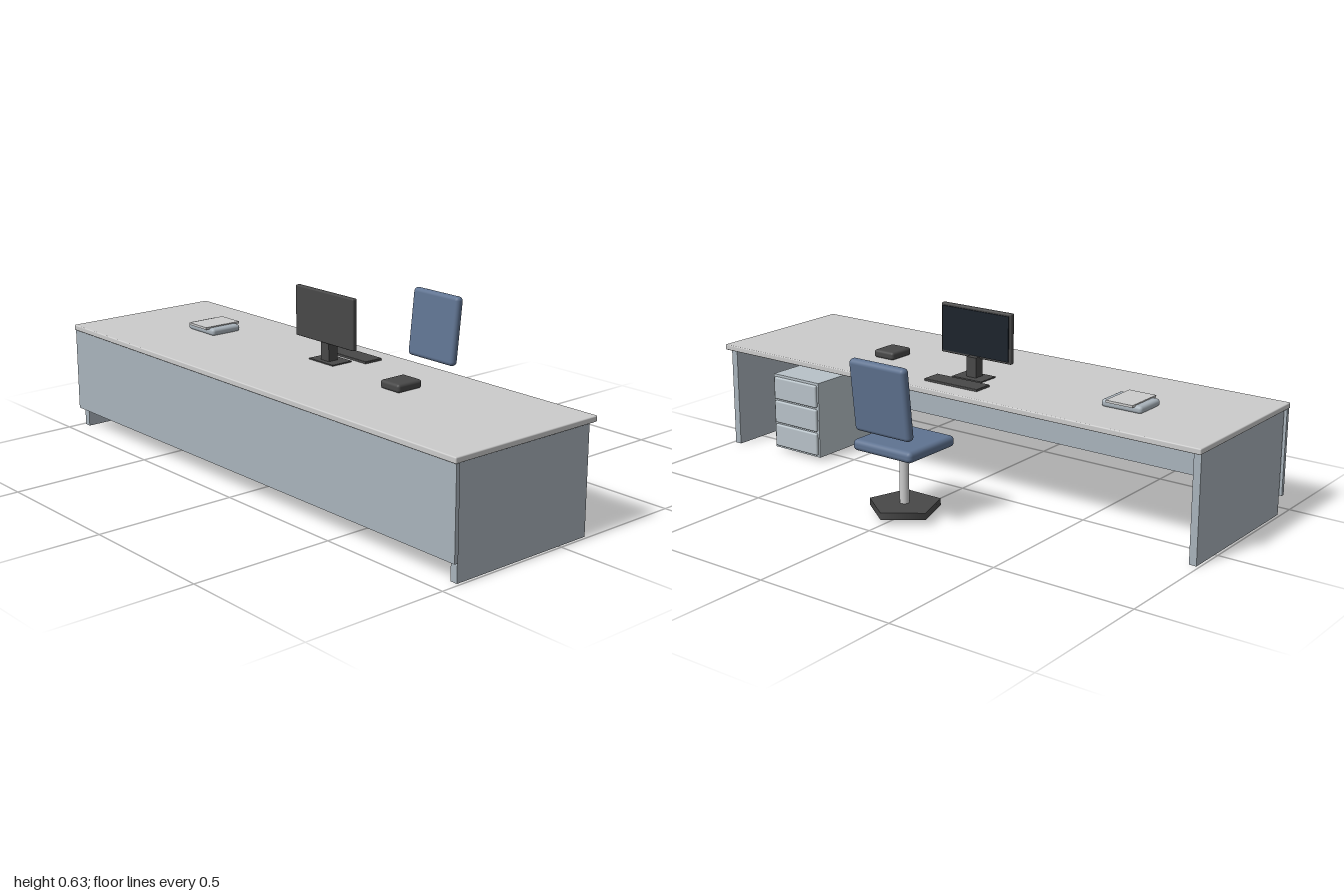
import * as THREE from 'three';
import { RoundedBoxGeometry } from 'three/addons/geometries/RoundedBoxGeometry.js';

const material = (color) => new THREE.MeshStandardMaterial({ color });
const grey = material(0xcccccc);
const panelGrey = material(0xa9b3bb);
const drawerGrey = material(0xb8c2c8);
const fabric = material(0x5f7391);
const dark = material(0x484848);
const screenDark = material(0x1c232c);

// Adds a box given its [min, max] extents; a radius rounds its edges.
function addBox(parent, name, mat, [x0, x1], [y0, y1], [z0, z1], radius = 0) {
  const size = [x1 - x0, y1 - y0, z1 - z0];
  const geometry = radius
    ? new RoundedBoxGeometry(...size, 3, radius)
    : new THREE.BoxGeometry(...size);
  const mesh = new THREE.Mesh(geometry, mat);
  mesh.name = name;
  mesh.position.set((x0 + x1) / 2, (y0 + y1) / 2, (z0 + z1) / 2);
  parent.add(mesh);
  return mesh;
}

function addGroup(parent, name) {
  const group = new THREE.Group();
  group.name = name;
  parent.add(group);
  return group;
}

function buildDesk(model) {
  const desk = addGroup(model, 'desk');
  addBox(desk, 'desktop', grey, [-1, 1], [0.368, 0.388], [-0.142, 0.457], 0.004);
  addBox(desk, 'frontPanel', panelGrey, [-0.998, 0.998], [0.067, 0.368], [0.438, 0.452]);
  for (const side of [-1, 1]) {
    const x = side * 0.977;
    addBox(desk, side > 0 ? 'leftPanel' : 'rightPanel', panelGrey,
      [x - 0.013, x + 0.013], [0, 0.368], [-0.118, 0.433]);
  }
}

function buildDrawers(model) {
  const unit = addGroup(model, 'drawerUnit');
  addBox(unit, 'drawerCabinet', drawerGrey, [0.59, 0.81], [0.012, 0.295], [-0.085, 0.2]);
  // Three fronts facing the chair side
  for (let i = 0; i < 3; i++) {
    const y = 0.02 + i * 0.091;
    addBox(unit, 'drawerFront', drawerGrey, [0.597, 0.803], [y, y + 0.084], [-0.095, -0.08], 0.006);
  }
}

function buildMonitor(model) {
  const monitor = addGroup(model, 'monitor');
  addBox(monitor, 'monitorBase', dark, [-0.062, 0.062], [0.386, 0.392], [0.022, 0.107]);
  addBox(monitor, 'monitorNeck', dark, [-0.02, 0.02], [0.39, 0.463], [0.049, 0.088]);
  addBox(monitor, 'monitorCase', dark, [-0.149, 0.149], [0.454, 0.631], [0.074, 0.093], 0.005);
  addBox(monitor, 'display', screenDark, [-0.14, 0.14], [0.463, 0.622], [0.07, 0.076]);
}

function buildDeskItems(model) {
  addBox(model, 'keyboard', dark, [-0.112, 0.112], [0.387, 0.396], [-0.07, 0.004], 0.002);
  addBox(model, 'smallCase', dark, [0.355, 0.444], [0.388, 0.417], [0.056, 0.16], 0.01);
  const tray = addGroup(model, 'paperTray');
  addBox(tray, 'trayBody', panelGrey, [-0.68, -0.527], [0.386, 0.412], [0.046, 0.169], 0.011);
  addBox(tray, 'paper', grey, [-0.655, -0.553], [0.408, 0.416], [0.033, 0.181]);
}

function buildChair(model) {
  const chair = addGroup(model, 'chair');
  const z = -0.318;
  addBox(chair, 'seat', fabric, [-0.123, 0.123], [0.233, 0.272], [-0.437, -0.199], 0.016);
  const back = addBox(chair, 'backrest', fabric,
    [-0.115, 0.115], [0.302, 0.552], [-0.446, -0.412], 0.015);
  back.rotation.x = -0.11;

  const post = new THREE.Mesh(new THREE.CylinderGeometry(0.016, 0.016, 0.195, 20), grey);
  post.name = 'post';
  post.position.set(0, 0.139, z);
  chair.add(post);

  // Five-sided foot with one corner pointing backwards
  const foot = new THREE.Mesh(new THREE.CylinderGeometry(0.125, 0.125, 0.024, 5), dark);
  foot.name = 'chairBase';
  foot.position.set(0, 0.032, z);
  foot.rotation.y = Math.PI;
  chair.add(foot);
}

export function createModel() {
  const model = new THREE.Group();
  model.name = 'officeDesk';
  buildDesk(model);
  buildDrawers(model);
  buildMonitor(model);
  buildDeskItems(model);
  buildChair(model);
  return model;
}
